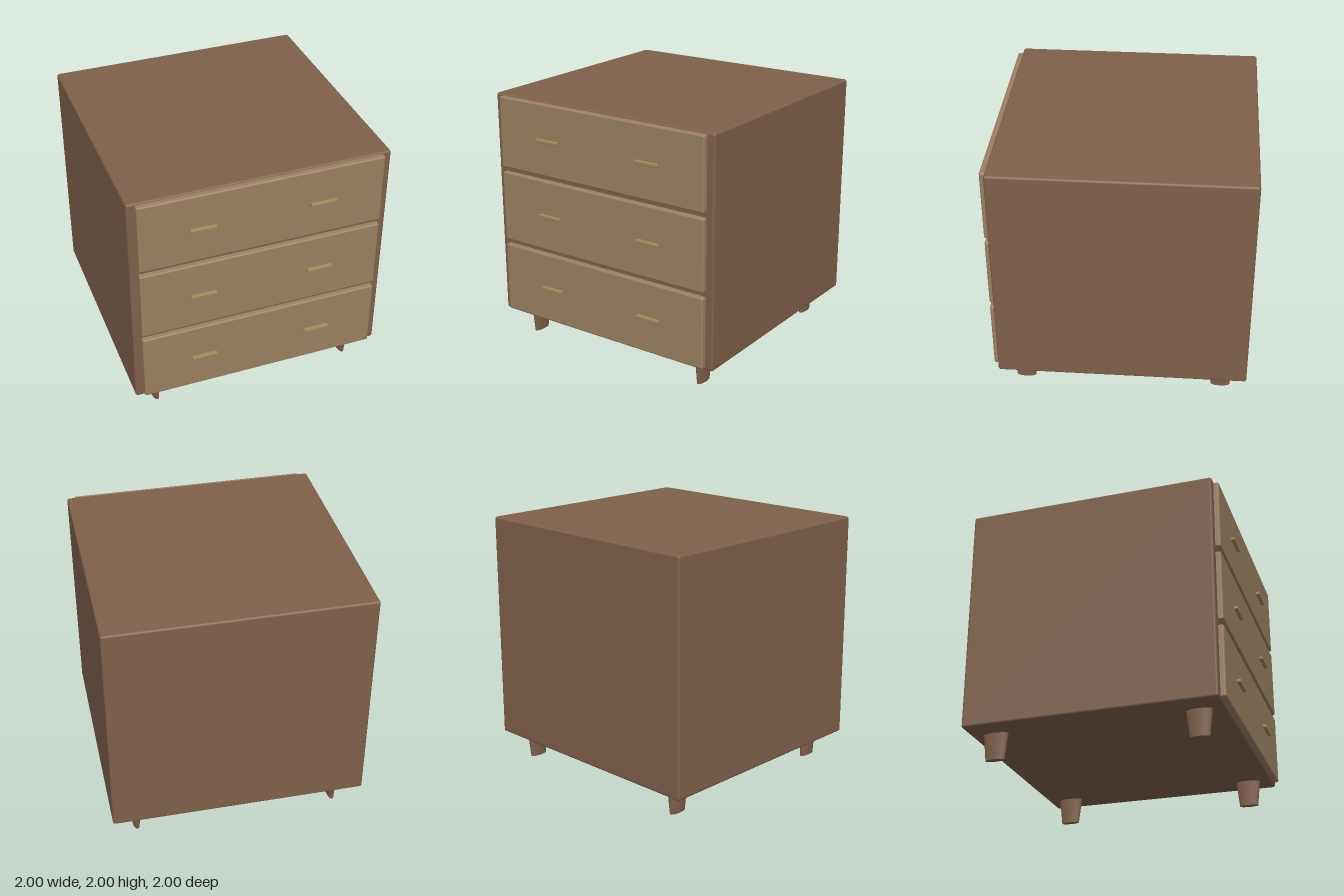
import * as THREE from 'three';
import { RoundedBoxGeometry } from 'three/addons/geometries/RoundedBoxGeometry.js';

const wood = new THREE.MeshStandardMaterial({ color: 0x80604a });
const drawerWood = new THREE.MeshStandardMaterial({ color: 0x9c8062 });
const brass = new THREE.MeshStandardMaterial({ color: 0xa08a5c });

export function createModel() {
  const model = new THREE.Group();
  model.name = 'drawerCabinet';

  // Box with softened edges, given by its limits on each axis
  function roundedBox(name, [x0, x1], [y0, y1], [z0, z1], radius, material, parent = model) {
    const geometry = new RoundedBoxGeometry(x1 - x0, y1 - y0, z1 - z0, 3, radius);
    const mesh = new THREE.Mesh(geometry, material);
    mesh.name = name;
    mesh.position.set((x0 + x1) / 2, (y0 + y1) / 2, (z0 + z1) / 2);
    parent.add(mesh);
    return mesh;
  }

  // Cabinet body
  roundedBox('carcass', [-1, 1], [0.205, 2], [-1, 0.932], 0.018, wood);

  // Three drawers, each a front panel with two bar handles
  for (let i = 0; i < 3; i++) {
    const drawer = new THREE.Group();
    drawer.name = 'drawer';
    const y = 0.505 + i * 0.6;
    roundedBox('drawerFront', [-0.938, 0.938], [y - 0.281, y + 0.281], [0.9, 0.973], 0.014, drawerWood, drawer);
    for (const x of [-0.46, 0.46]) {
      roundedBox('handle', [x - 0.1, x + 0.1], [y - 0.013, y + 0.013], [0.965, 1], 0.005, brass, drawer);
    }
    model.add(drawer);
  }

  // Tapered oval legs, thin across x and wide along z
  const legGeometry = new THREE.CylinderGeometry(0.1, 0.075, 0.22, 32);
  for (const x of [-0.8, 0.8]) {
    for (const z of [-0.805, 0.745]) {
      const leg = new THREE.Mesh(legGeometry, wood);
      leg.name = z > 0 ? 'frontLeg' : 'backLeg';
      leg.scale.x = 0.36;
      leg.position.set(x, 0.11, z);
      model.add(leg);
    }
  }
  return model;
}
